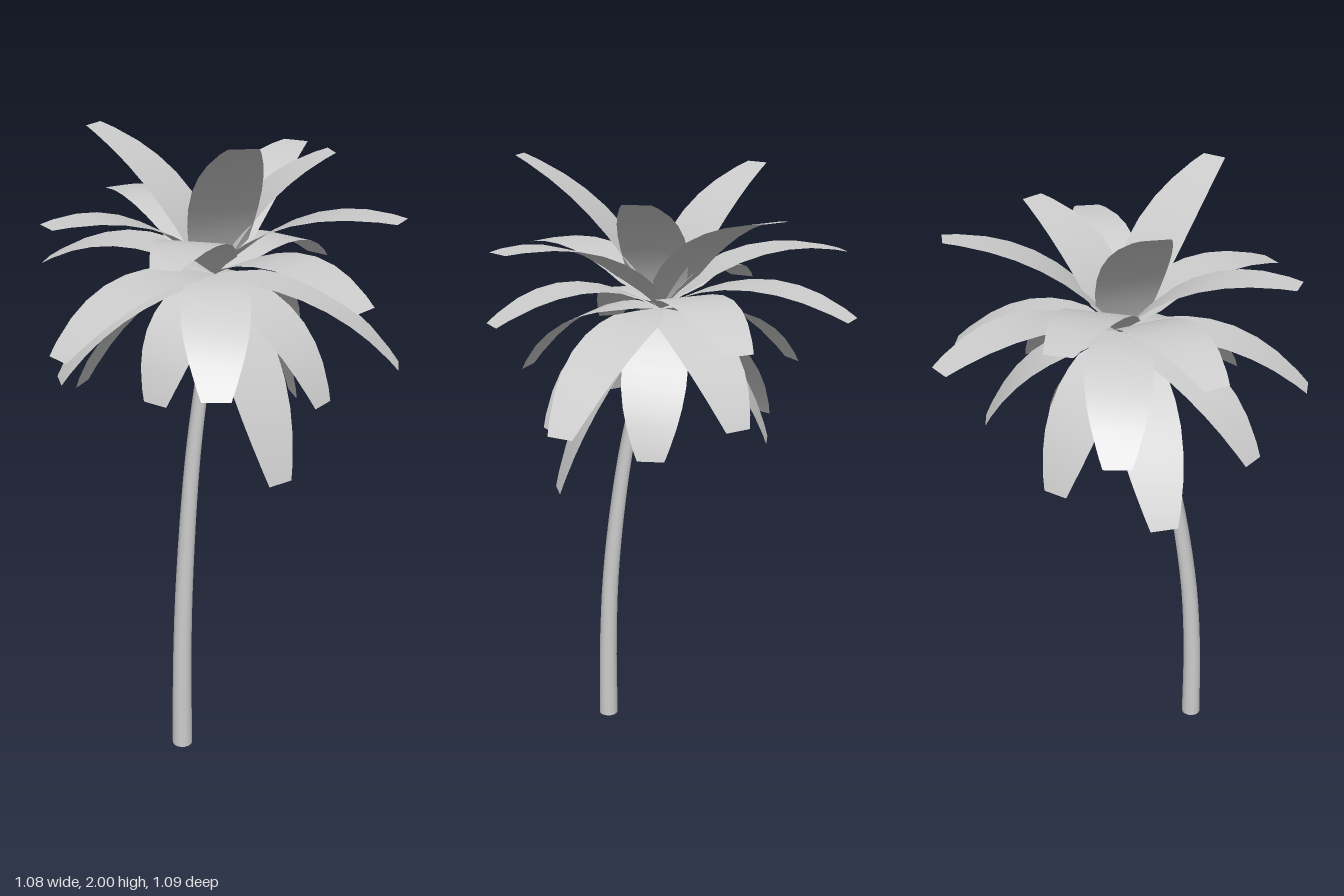
import * as THREE from 'three';

const CROWN = new THREE.Vector3(0, 1.54, 0.06);

// Frond tips, grouped by tier
const TIERS = {
  upperFrond: [
    [-0.043, 2.0, 0.5], [-0.31, 1.96, -0.215], [0.355, 1.9, 0.08], [0.375, 1.86, -0.31],
    [0.43, 1.77, 0.46], [-0.525, 1.755, 0.21], [-0.2, 1.7, -0.5], [-0.26, 1.7, 0.52],
  ],
  middleFrond: [
    [0.21, 1.56, -0.53], [0.43, 1.5, -0.22], [0.31, 1.54, 0.52], [0.525, 1.27, 0.28],
    [-0.12, 1.31, 0.52], [-0.525, 1.4, 0.31], [-0.485, 1.56, -0.16], [-0.28, 1.32, -0.345],
  ],
  lowerFrond: [
    [-0.49, 1.24, 0.06], [-0.375, 1.105, -0.24], [0.12, 0.965, 0.38], [0.26, 1.12, 0.06],
    [0.333, 1.25, -0.21], [0, 1.12, -0.28], [-0.235, 1.21, 0.25], [0.25, 1.205, 0.37],
  ],
};

// Half width of a frond along its length
const WIDTHS = [
  [0, 0.004], [0.1, 0.046], [0.2, 0.09], [0.3, 0.098], [0.42, 0.102], [0.55, 0.1],
  [0.68, 0.091], [0.8, 0.077], [0.93, 0.056], [1, 0.042],
];

function frondGeometry(tipArray) {
  const tip = new THREE.Vector3(...tipArray);
  const chord = tip.clone().sub(CROWN).normalize();
  const side = new THREE.Vector3(0, 1, 0).cross(chord).normalize();
  const outward = chord.clone().cross(side);
  // Arched spine, straighter the steeper the frond
  const control = CROWN.clone().lerp(tip, 0.5)
    .addScaledVector(outward, 0.18 * Math.sqrt(1 - chord.y * chord.y));
  const spine = new THREE.QuadraticBezierCurve3(CROWN, control, tip);
  const positions = [];
  const index = [];
  WIDTHS.forEach(([t, w], i) => {
    const p = spine.getPoint(t);
    for (const s of [1, -1]) {
      const q = p.clone().addScaledVector(side, s * w);
      positions.push(q.x, q.y, q.z);
    }
    if (i > 0) {
      const a = 2 * (i - 1);
      index.push(a, a + 1, a + 2, a + 1, a + 3, a + 2);
    }
  });
  const geometry = new THREE.BufferGeometry();
  geometry.setAttribute('position', new THREE.Float32BufferAttribute(positions, 3));
  geometry.setIndex(index);
  geometry.computeVertexNormals();
  return geometry;
}

// Tapered cylinder bent along a leaning curve
function trunkGeometry() {
  const height = 1.54;
  const path = new THREE.CatmullRomCurve3([
    [-0.17, 0, 0.283], [-0.167, 0.3, 0.278], [-0.152, 0.6, 0.258],
    [-0.108, 1.0, 0.2], [-0.05, 1.3, 0.13], [0, height, 0.06],
  ].map((p) => new THREE.Vector3(...p)));
  const geometry = new THREE.CylinderGeometry(0.019, 0.033, height, 16, 20);
  const pos = geometry.attributes.position;
  for (let i = 0; i < pos.count; i++) {
    const c = path.getPointAt(pos.getY(i) / height + 0.5);
    pos.setXYZ(i, pos.getX(i) + c.x, c.y, pos.getZ(i) + c.z);
  }
  // Keep the rounded cylinder normals, which suit the slight lean
  return geometry;
}

export function createModel() {
  const model = new THREE.Group();
  model.name = 'palmTree';
  const grey = new THREE.MeshStandardMaterial({ color: 0xcccccc, side: THREE.DoubleSide });
  grey.name = 'light grey';

  const trunk = new THREE.Mesh(trunkGeometry(), grey);
  trunk.name = 'trunk';
  model.add(trunk);

  const crown = new THREE.Group();
  crown.name = 'crown';
  for (const [name, tips] of Object.entries(TIERS)) {
    tips.forEach((tip, i) => {
      const frond = new THREE.Mesh(frondGeometry(tip), grey);
      frond.name = `${name}${i + 1}`;
      crown.add(frond);
    });
  }
  model.add(crown);
  return model;
}
